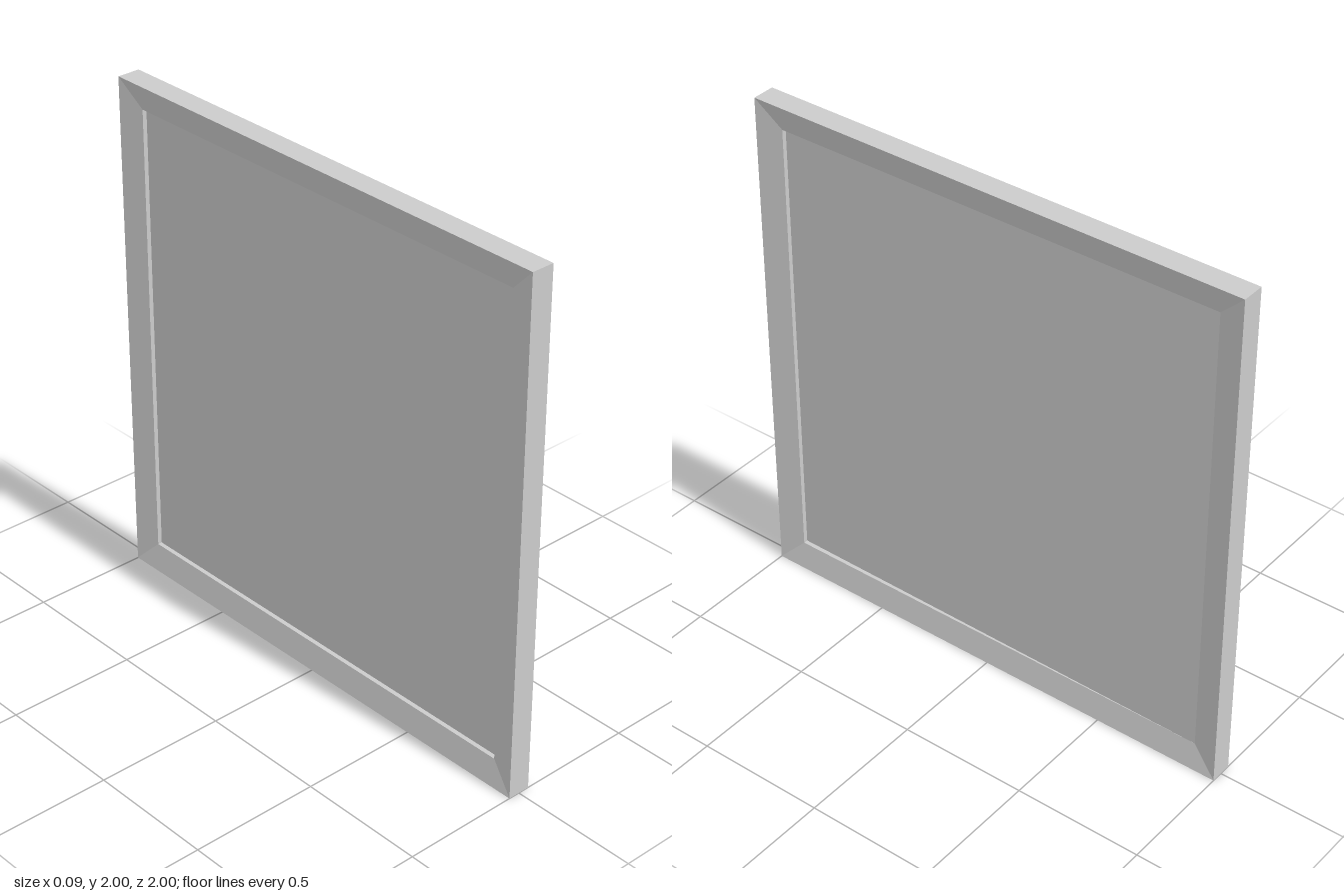
import * as THREE from 'three';

const OUTER = 1, INNER = 0.9;        // half sizes of the frame and its opening
const EDGE = 0.045, RIM = 0.022;     // half thickness at the outer edge and at the rim
const PANEL = 0.005;                 // half thickness of the recessed panel

export function createModel() {
  const model = new THREE.Group();
  const material = new THREE.MeshStandardMaterial({ color: 0xcccccc, flatShading: true });

  // Mitred frame: a bevelled section swept round four corners
  const section = [
    [INNER, -RIM], [OUTER, -EDGE], [OUTER, EDGE], [INNER, RIM], [INNER, -RIM],
  ].map(([r, x]) => new THREE.Vector2(r * Math.SQRT2, x));
  const frameGeometry = new THREE.LatheGeometry(section, 4, Math.PI / 4)
    .rotateZ(-Math.PI / 2)
    .toNonIndexed();
  frameGeometry.computeVertexNormals();
  const frame = new THREE.Mesh(frameGeometry, material);
  frame.name = 'frame';

  // Recessed panel, with one lower corner lifted flush with the rim
  const panelGeometry = new THREE.BoxGeometry(PANEL * 2, INNER * 2, INNER * 2);
  const p = panelGeometry.attributes.position;
  for (let i = 0; i < p.count; i++) {
    if (p.getX(i) > 0 && p.getY(i) < 0 && p.getZ(i) < 0) p.setX(i, RIM);
  }
  panelGeometry.computeVertexNormals();
  const panelMaterial = new THREE.MeshStandardMaterial({ color: 0xcccccc });
  const panel = new THREE.Mesh(panelGeometry, panelMaterial);
  panel.name = 'panel';

  frame.position.y = panel.position.y = OUTER;
  model.add(frame, panel);
  return model;
}
